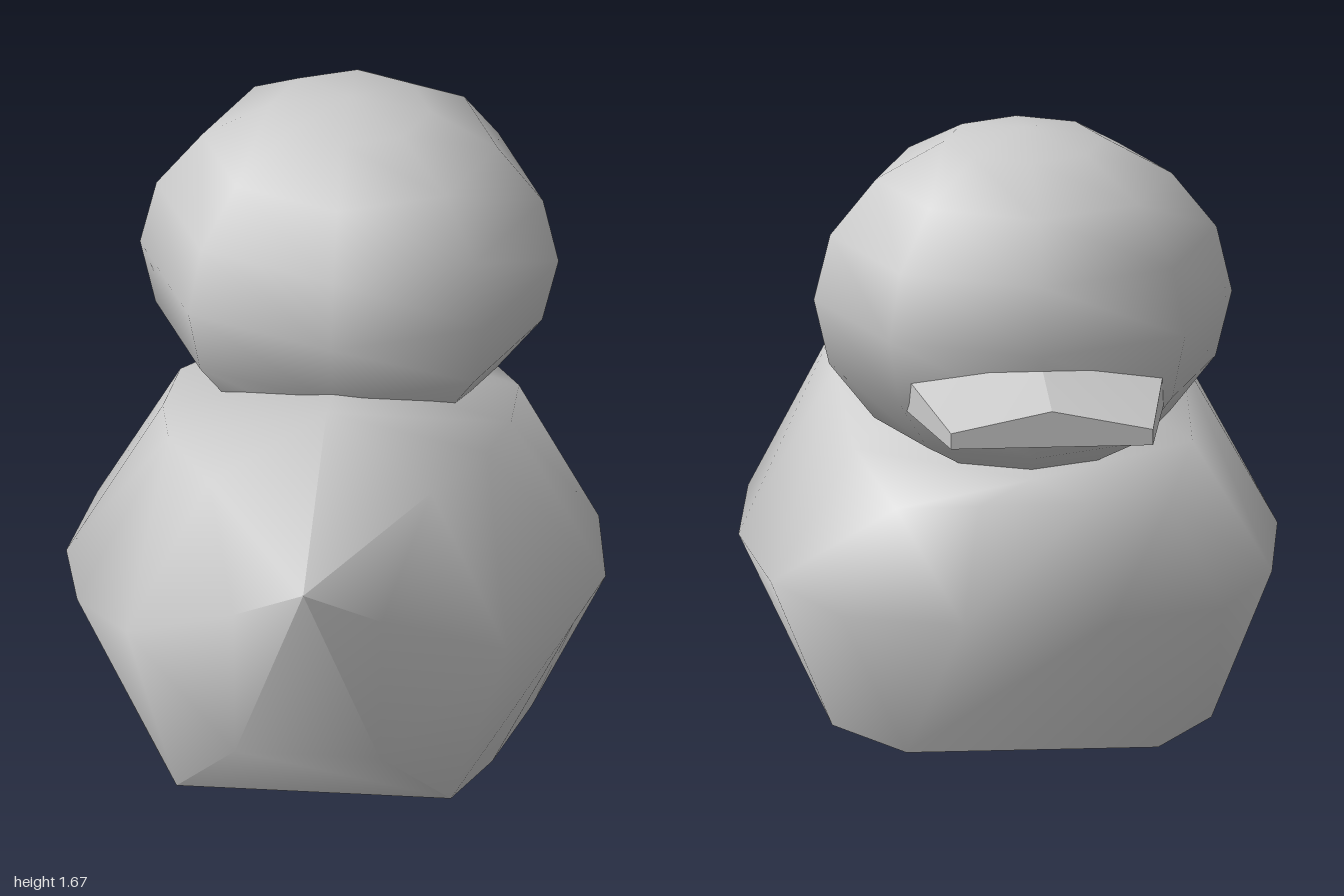
import * as THREE from 'three';
import { toCreasedNormals } from 'three/addons/utils/BufferGeometryUtils.js';
import { ConvexGeometry } from 'three/addons/geometries/ConvexGeometry.js';

const grey = new THREE.MeshStandardMaterial({ color: 0xcccccc });

// Convex solid from half sections [halfWidth, y, z], mirrored across x = 0
function mirroredHull(half, crease) {
  const points = [];
  for (const [x, y, z] of half) {
    points.push(new THREE.Vector3(x, y, z));
    if (x > 0) points.push(new THREE.Vector3(-x, y, z));
  }
  const geometry = new ConvexGeometry(points);
  return toCreasedNormals(geometry, crease);
}

function addMesh(parent, name, geometry) {
  const mesh = new THREE.Mesh(geometry, grey);
  mesh.name = name;
  parent.add(mesh);
  return mesh;
}

export function createModel() {
  const model = new THREE.Group();
  model.name = 'duck';

  // The bird looks along its own +z and is turned within the model
  const bird = new THREE.Group();
  bird.name = 'bird';
  bird.rotation.y = Math.PI + 0.604;
  bird.position.set(-0.022, 0, 0.015);
  model.add(bird);

  // Body: each section lists keel edge, flank, shoulder and spine, chest to tail
  const bodySections = [
    [[0.2, 0.38, 0.65], [0.15, 0.69, 0.57]],
    [[0.34, 0, 0.5], [0.517, 0.38, 0.505], [0.37, 0.675, 0.516], [0, 0.75, 0.52]],
    [[0.512, 0.015, 0.214], [0.677, 0.41, 0.2], [0.457, 0.785, 0.25], [0, 0.9, 0.2]],
    [[0.53, 0.05, -0.2], [0.728, 0.46, -0.17], [0.47, 0.92, -0.14], [0, 1.04, -0.14]],
    [[0.456, 0.1, -0.554], [0.67, 0.52, -0.5], [0.43, 1.0, -0.42], [0, 1.13, -0.46]],
    [[0.37, 0.17, -0.855], [0.514, 0.59, -0.757], [0.3, 1.02, -0.66]],
    [[0.195, 0.42, -1.055], [0.2, 0.85, -1.045], [0, 1.01, -1.18]],
  ];
  addMesh(bird, 'body', mirroredHull(bodySections.flat(), 1.08));

  // Head: low-poly squashed ball, nodding slightly forward
  const head = addMesh(bird, 'head', new THREE.SphereGeometry(0.565, 8, 8).scale(1, 0.84, 1));
  head.position.set(0, 1.195, 0.24);
  head.rotation.x = 0.08;

  // Bill: thin wedge with a raised middle line, narrowing to the tip
  const billSections = [
    [[0.273, 0.957, 1.045], [0.273, 1.0, 1.045], [0, 1.055, 1.045]],
    [[0.375, 0.96, 0.4], [0.375, 1.07, 0.4], [0, 1.19, 0.4]],
  ];
  addMesh(bird, 'bill', mirroredHull(billSections.flat(), 0.2));

  return model;
}
